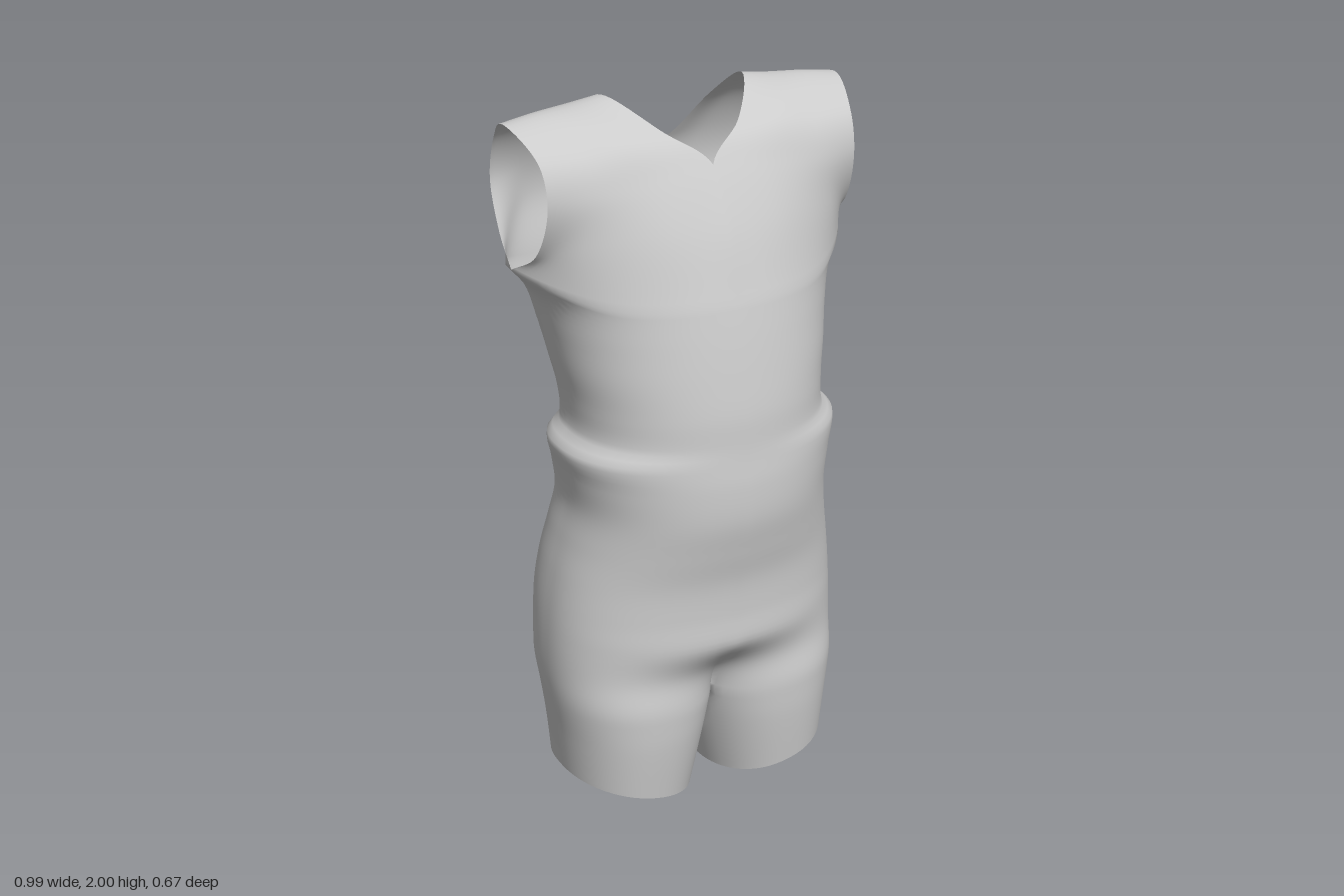
import * as THREE from 'three';
import { mergeGeometries, mergeVertices } from 'three/addons/utils/BufferGeometryUtils.js';

const N = 24;              // columns from centre line to side seam
const CROTCH = 0.29, CHEST = 1.5;
const INNER = Math.PI / 3; // how far the leg outline wraps round to the inside

// Body profile: [height, half width, front z, back z, side seam z]
const PROFILE = [
  [0.00, 0.395, 0.225, -0.20, 0.01], [0.20, 0.415, 0.25, -0.205, 0.01],
  [0.32, 0.43, 0.257, -0.225, 0.01], [0.40, 0.435, 0.265, -0.28, 0],
  [0.50, 0.434, 0.293, -0.322, 0], [0.60, 0.427, 0.292, -0.337, 0],
  [0.70, 0.413, 0.297, -0.325, 0], [0.80, 0.393, 0.317, -0.297, 0],
  [0.90, 0.377, 0.335, -0.277, 0.01], [1.00, 0.39, 0.336, -0.262, 0.01],
  [1.08, 0.404, 0.328, -0.25, 0.01], [1.115, 0.367, 0.325, -0.247, 0.01],
  [1.20, 0.365, 0.32, -0.25, 0], [1.30, 0.383, 0.305, -0.27, -0.02],
  [1.40, 0.402, 0.287, -0.29, -0.05], [1.50, 0.43, 0.266, -0.312, -0.07],
  [1.57, 0.485, 0.25, -0.322, -0.08],
];

// Yoke rows from chest, over the shoulder, to the back; each runs neck to armhole
const YOKE = [
  [[0, 1.68, 0.21], [0.19, 1.68, 0.19], [0.37, 1.67, 0.115], [0.467, 1.64, 0.035]],
  [[0, 1.84, 0.13], [0.18, 1.82, 0.138], [0.34, 1.8, 0.118], [0.457, 1.78, 0.09]],
  [[0.11, 1.925, 0.065], [0.22, 1.92, 0.078], [0.34, 1.9, 0.075], [0.463, 1.89, 0.06]],
  [[0.21, 2, -0.09], [0.3, 1.986, -0.09], [0.4, 1.978, -0.085], [0.495, 1.965, -0.08]],
  [[0.19, 1.91, -0.225], [0.27, 1.92, -0.22], [0.37, 1.91, -0.205], [0.472, 1.9, -0.19]],
  [[0.11, 1.79, -0.298], [0.22, 1.8, -0.298], [0.35, 1.79, -0.275], [0.467, 1.77, -0.235]],
  [[0, 1.73, -0.312], [0.18, 1.68, -0.325], [0.35, 1.67, -0.285], [0.472, 1.64, -0.175]],
];

const { lerp, smoothstep } = THREE.MathUtils;

// Smooth lookup in the profile
function profile(y) {
  const last = PROFILE.length - 1;
  let i = 0;
  while (i < last - 1 && PROFILE[i + 1][0] < y) i++;
  const p = PROFILE[i], q = PROFILE[i + 1], h = q[0] - p[0];
  const t = THREE.MathUtils.clamp((y - p[0]) / h, 0, 1);
  const slope = (k, c) => {
    const a = PROFILE[Math.max(k - 1, 0)], b = PROFILE[Math.min(k + 1, last)];
    return (b[c] - a[c]) / (b[0] - a[0]) * h;
  };
  return [1, 2, 3, 4].map((c) => {
    const m0 = slope(i, c), m1 = slope(i + 1, c), d = q[c] - p[c];
    return p[c] + t * (m0 + t * (3 * d - 2 * m0 - m1 + t * (m0 + m1 - 2 * d)));
  });
}

// Rounded outline: angle 0 is the front, PI / 2 the outside, PI the back
function outline(angle, cx, rx, [, front, back, cz]) {
  const s = Math.sin(angle), c = Math.cos(angle);
  const e = 2 / (c > 0 ? 2.15 : 2.5);
  const z = Math.pow(Math.abs(c), e) * (c > 0 ? front - cz : back - cz);
  return [cx + rx * Math.sign(s) * Math.pow(Math.abs(s), e), cz + z];
}

// Outline of one leg; it meets the centre plane at the crotch
function legOutline(y, angle) {
  const p = profile(y);
  const inside = lerp(0.03, -0.035, Math.min(y / CROTCH, 1));
  const [x, z] = outline(angle, (p[0] + inside) / 2, (p[0] - inside) / 2, p);
  return [y >= CROTCH - 1e-6 ? Math.max(x, 0) : Math.max(x, 0.008), z];
}
const legAngle = (a) => -INNER + a * (Math.PI + 2 * INNER) / Math.PI;

// Half of the torso, with two legs blending into one body
function torso(u, v) {
  const a = u * Math.PI, base = lerp(CROTCH, CHEST, v);
  const y = base + 0.07 * Math.pow(Math.sin(a), 6) * smoothstep(base, 1.25, CHEST);
  const p = profile(y);
  const [tx, tz] = outline(a, 0, p[0], p);
  const [lx, lz] = legOutline(y, legAngle(a));
  const k = 1 - smoothstep(y, CROTCH, 0.52);
  const gather = Math.exp(-(((y - 1.02) / 0.09) ** 2)) * Math.max(0, -Math.cos(a));
  const x = u === 0 || u === 1 ? 0 : lerp(tx, lx, k);
  return [x, y, lerp(tz, lz, k) + 0.006 * gather * Math.cos(x * 60)];
}

// Outer and inner faces of a leg, with the hem rising towards the outside
function leg(angle, v) {
  const [hx] = legOutline(0, angle);
  const hem = 0.08 * Math.pow(Math.max(0, (hx - 0.03) / 0.365), 1.2);
  const y = lerp(hem, CROTCH, v);
  const [x, z] = legOutline(y, angle);
  return [x, y, z];
}
const legOuter = (u, v) => {
  const p = leg(legAngle(u * Math.PI), v);
  if (v === 1 && (u === 0 || u === 1)) p[0] = 0;
  return p;
};
const legInner = (u, v) => {
  const p = leg(Math.PI + INNER + u * (Math.PI - 2 * INNER), v);
  if (v === 1) p[0] = 0;
  return p;
};

// Yoke: each column runs from the chest over the shoulder to the back
const vec = (p) => new THREE.Vector3(...p);
const yokeRows = YOKE.map((row) => new THREE.CatmullRomCurve3(row.map(vec)));
const yokeColumns = Array.from({ length: N + 1 }, (_, j) => new THREE.CatmullRomCurve3([
  vec(torso(j / (2 * N), 1)),
  ...yokeRows.map((row) => row.getPoint(j / N)),
  vec(torso(1 - j / (2 * N), 1)),
]));
function yoke(u, v) {
  const p = yokeColumns[Math.round(u * N)].getPoint(v);
  return [Math.max(p.x, 0), p.y, p.z];
}

// Grid surface over u and v, on the left (side 1) or right (side -1)
function sheet(fn, nu, nv, side) {
  const positions = [], index = [];
  for (let j = 0; j <= nv; j++) {
    for (let i = 0; i <= nu; i++) {
      const [x, y, z] = fn(i / nu, j / nv);
      positions.push(side * x - 0.013 * (1 - smoothstep(y, 0.4, 1.0)), y, z);
      if (i === nu || j === nv) continue;
      const a = j * (nu + 1) + i, b = a + 1, c = b + nu + 1, d = c - 1;
      index.push(...(side > 0 ? [a, b, c, a, c, d] : [a, c, b, a, d, c]));
    }
  }
  const g = new THREE.BufferGeometry();
  g.setAttribute('position', new THREE.Float32BufferAttribute(positions, 3));
  g.setIndex(index);
  return g;
}

export function createModel() {
  const parts = [];
  for (const side of [1, -1]) {
    parts.push(
      sheet(torso, 2 * N, 72, side),
      sheet(yoke, N, 64, side),
      sheet(legOuter, 2 * N, 14, side),
      sheet(legInner, 12, 14, side),
    );
  }
  // Weld the panels so shading runs smoothly across the seams
  const geometry = mergeVertices(mergeGeometries(parts), 1e-4);
  geometry.computeVertexNormals();
  const suit = new THREE.Mesh(geometry, new THREE.MeshStandardMaterial({
    color: 0xcccccc, side: THREE.DoubleSide,
  }));
  suit.name = 'sleevelessBodysuit';
  const group = new THREE.Group();
  group.name = 'garment';
  group.add(suit);
  return group;
}
